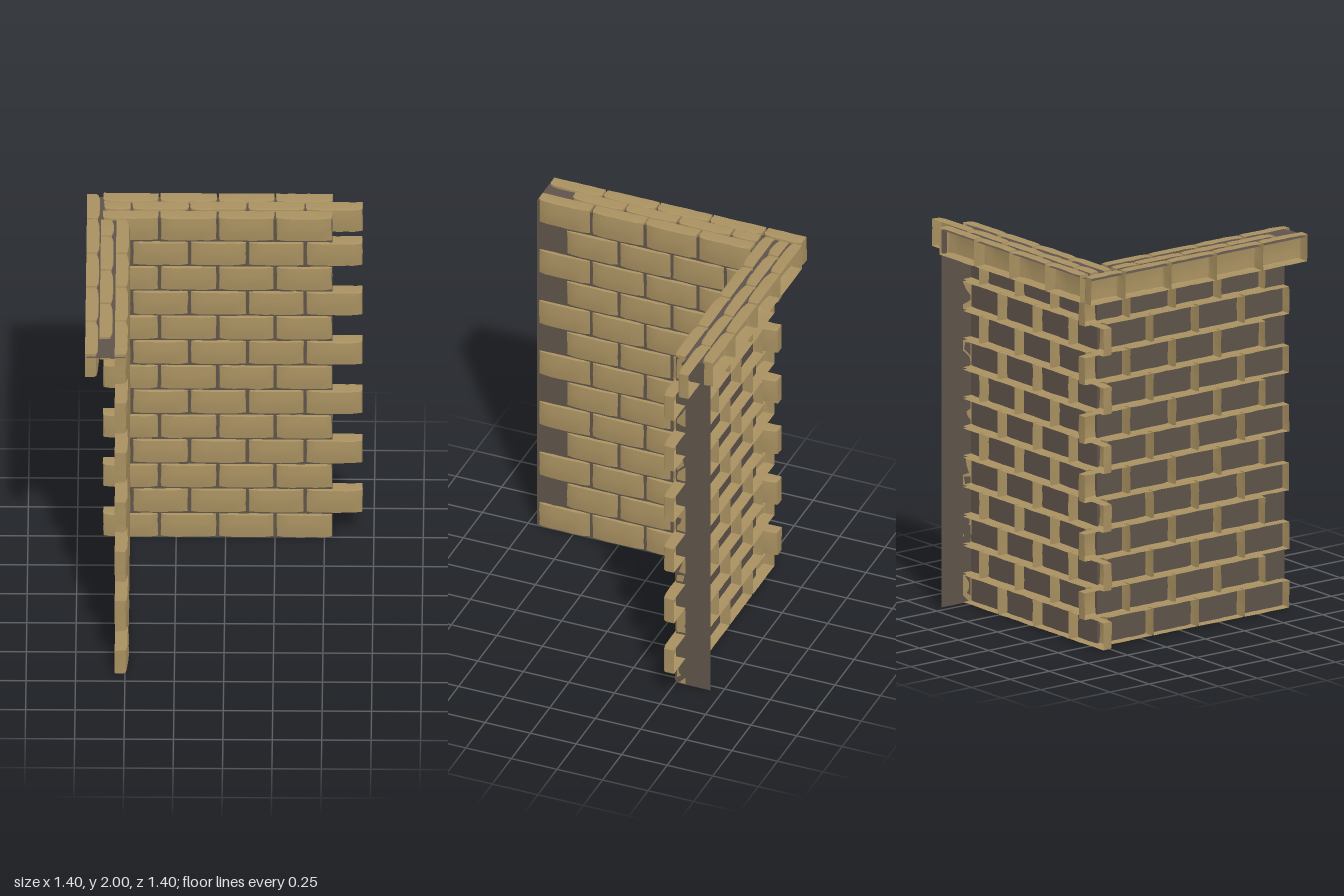
import * as THREE from 'three';
import { mergeGeometries } from 'three/addons/utils/BufferGeometryUtils.js';

const ROWS = 13, PITCH = 0.1542, HEIGHT = 0.142, DEPTH = 0.07, GAP = 0.01;

// repeatable noise in -1..1
function noise(a, b, c, seed) {
  const s = Math.sin(a * 127.1 + b * 311.7 + c * 74.7 + seed * 53.3) * 43758.5453;
  return 2 * (s - Math.floor(s)) - 1;
}

// hollow brick, open at the back: length along x, worn face towards +z
function brickGeometry(length, seed) {
  const nx = Math.max(2, Math.round(length / 0.04));
  const g = new THREE.BoxGeometry(length, HEIGHT, DEPTH, nx, 3, 2);
  const back = g.groups[5];
  g.setIndex(Array.from(g.index.array).slice(0, back.start));
  g.clearGroups();
  const p = g.attributes.position;
  for (let i = 0; i < p.count; i++) {
    let x = p.getX(i), y = p.getY(i), z = p.getZ(i);
    const kx = Math.round(x * 1000), ky = Math.round(y * 1000), kz = Math.round(z * 1000);
    const u = x / (length / 2), v = y / (HEIGHT / 2);
    const front = z > DEPTH / 4;
    if (Math.abs(z) < 0.001) z = DEPTH / 2 - 0.014;
    // chipped, slightly rounded rim
    const rim = Math.abs(u) > 0.999 || Math.abs(v) > 0.999;
    if (front && rim) {
      x -= Math.sign(u) * (Math.abs(u) > 0.999 ? 0.005 : 0);
      y -= Math.sign(v) * (Math.abs(v) > 0.999 ? 0.004 : 0);
      z -= 0.005;
    }
    if (z > 0) z -= 0.009 * Math.pow(Math.abs(u), 5);
    x += 0.002 * noise(kx, ky, kz, seed);
    y += 0.0015 * noise(ky, kz, kx, seed + 5);
    if (front) z += 0.001 * noise(kz, kx, ky, seed + 9);
    p.setXYZ(i, x, y, z);
  }
  g.computeVertexNormals();
  return g;
}

// one course of bricks between successive joints
function course(joints, y, faceAt, alongZ, seed) {
  const list = [];
  for (let i = 0; i + 1 < joints.length; i++) {
    const a = joints[i], b = joints[i + 1], mid = (a + b) / 2;
    const g = brickGeometry(b - a - GAP, seed * 7 + i);
    if (alongZ) g.rotateY(Math.PI / 2).translate(faceAt - DEPTH / 2, y, mid);
    else g.translate(mid, y, faceAt - DEPTH / 2);
    list.push(g);
  }
  return list;
}

export function createModel() {
  const model = new THREE.Group();
  model.name = 'brickCorner';
  const brick = new THREE.MeshStandardMaterial({ color: 0xa89060, side: THREE.DoubleSide });
  brick.name = 'sandyBrick';
  const mortar = new THREE.MeshStandardMaterial({ color: 0x5e534a, side: THREE.DoubleSide });
  mortar.name = 'darkMortar';

  const add = (name, geometry, material) => {
    const m = new THREE.Mesh(geometry, material);
    m.name = name;
    model.add(m);
  };

  // joints of the two alternating courses, for each wall
  const backEven = [-0.625, -0.335, -0.04, 0.25, 0.545];
  const backOdd = [-0.475, -0.183, 0.11, 0.402, 0.697];
  const sideEven = [-0.48, -0.183, 0.107, 0.402, 0.695];
  const sideOdd = [-0.625, -0.333, -0.04, 0.25, 0.542];

  // wall faces, with courses interlocking at the corner
  const backBricks = [], sideBricks = [];
  for (let r = 0; r < ROWS; r++) {
    const y = 0.076 + r * PITCH, odd = r % 2 === 1;
    backBricks.push(...course(odd ? backOdd : backEven, y, -0.482, false, r + 1));
    sideBricks.push(...course(odd ? sideOdd : sideEven, y, -0.482, true, r + 31));
  }
  add('backWallBricks', mergeGeometries(backBricks), brick);
  add('sideWallBricks', mergeGeometries(sideBricks), brick);

  // middle and outer rows along the top
  const topY = 0.076 + (ROWS - 1) * PITCH;
  const capBack = [
    ...course([-0.62, ...backOdd], topY, -0.562, false, 61),
    ...course(backEven, topY, -0.633, false, 62),
  ];
  const capSide = [
    ...course([-0.48, ...sideOdd.slice(1)], topY, -0.56, true, 63),
    ...course([-0.7, ...sideEven], topY, -0.632, true, 64),
  ];
  add('backWallTopBricks', mergeGeometries(capBack), brick);
  add('sideWallTopBricks', mergeGeometries(capSide), brick);

  // mortar sheets: the two faces, the free end and the tops
  const top = 1.982;
  const sheet = (w, h) => new THREE.PlaneGeometry(w, h);
  add('backWallMortar', sheet(1.04, top).translate(0.02, top / 2, -0.5), mortar);
  add('sideWallMortar', sheet(1.2, top).rotateY(Math.PI / 2).translate(-0.5, top / 2, 0.1), mortar);
  add('backWallEndMortar', sheet(0.19, top).rotateY(Math.PI / 2).translate(0.54, top / 2, -0.595), mortar);
  add('backWallTopMortar', sheet(1.04, 0.19).rotateX(-Math.PI / 2).translate(0.02, top, -0.595), mortar);
  add('sideWallTopMortar', sheet(0.195, 1.39).rotateX(-Math.PI / 2).translate(-0.5975, top, 0.005), mortar);

  return model;
}
